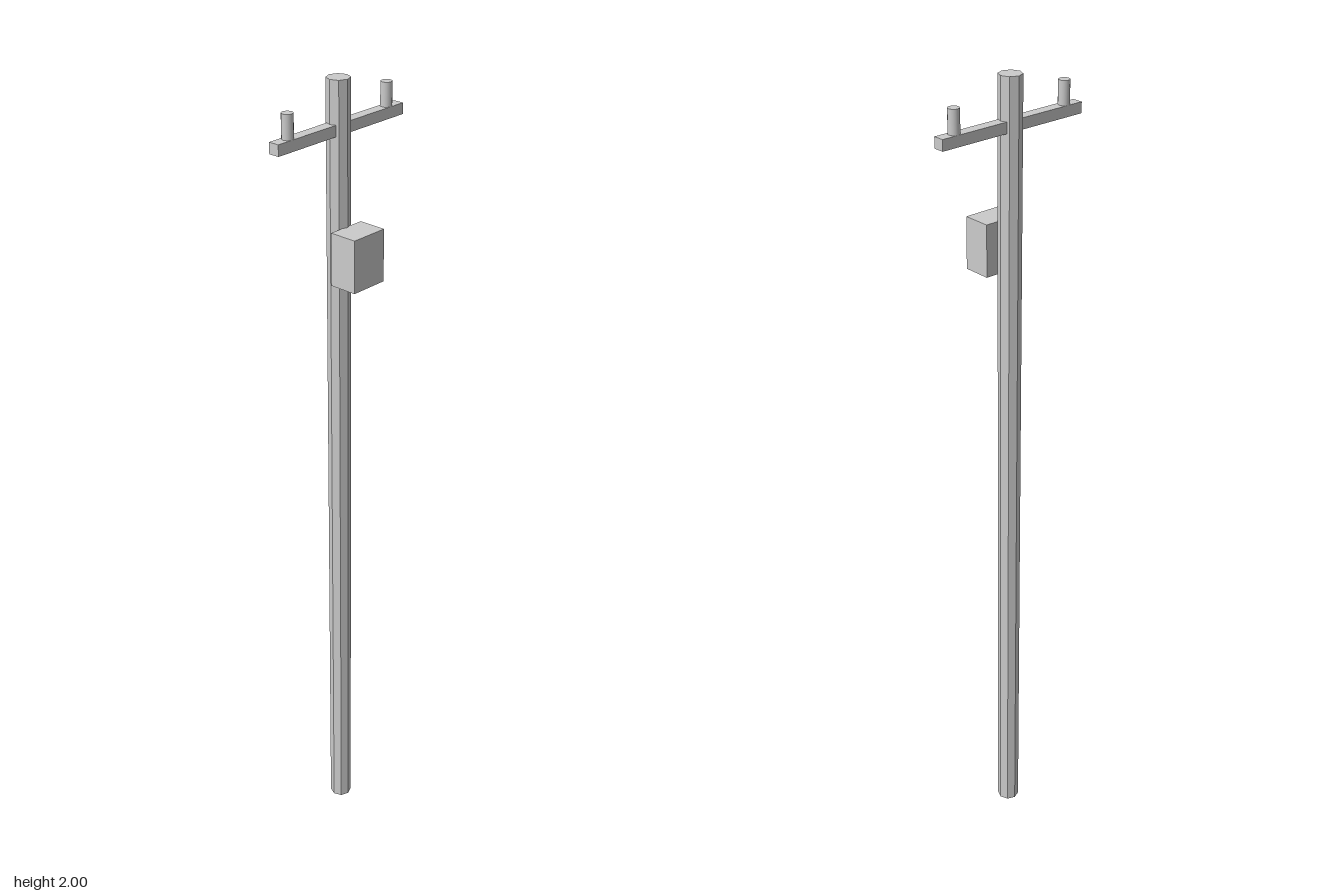
import * as THREE from 'three';

const POLE_Z = -0.033;

export function createModel() {
  const model = new THREE.Group();
  const flat = new THREE.MeshStandardMaterial({ color: 0xcccccc, flatShading: true });
  const smooth = new THREE.MeshStandardMaterial({ color: 0xcccccc });

  // Adds a named part whose underside sits at height y
  const add = (name, geometry, material, x, y, z) => {
    geometry.computeBoundingBox();
    const mesh = new THREE.Mesh(geometry, material);
    mesh.name = name;
    mesh.position.set(x, y - geometry.boundingBox.min.y, z);
    model.add(mesh);
  };

  // Eight-sided pole, a corner facing forward
  add('pole', new THREE.CylinderGeometry(0.0275, 0.0275, 2, 8), flat, 0, 0, POLE_Z);

  // Cross-arm through the pole
  add('crossArm', new THREE.BoxGeometry(0.398, 0.026, 0.027), flat, 0, 1.876, POLE_Z);

  // Insulator pegs near both ends of the arm
  for (const [name, side] of [['leftInsulator', 1], ['rightInsulator', -1]]) {
    add(name, new THREE.CylinderGeometry(0.0135, 0.0135, 0.056, 16), smooth, side * 0.157, 1.902, POLE_Z);
  }

  // Transformer box on the front of the pole
  add('transformerBox', new THREE.BoxGeometry(0.098, 0.126, 0.07), flat, 0, 1.54, 0.0245);

  return model;
}
